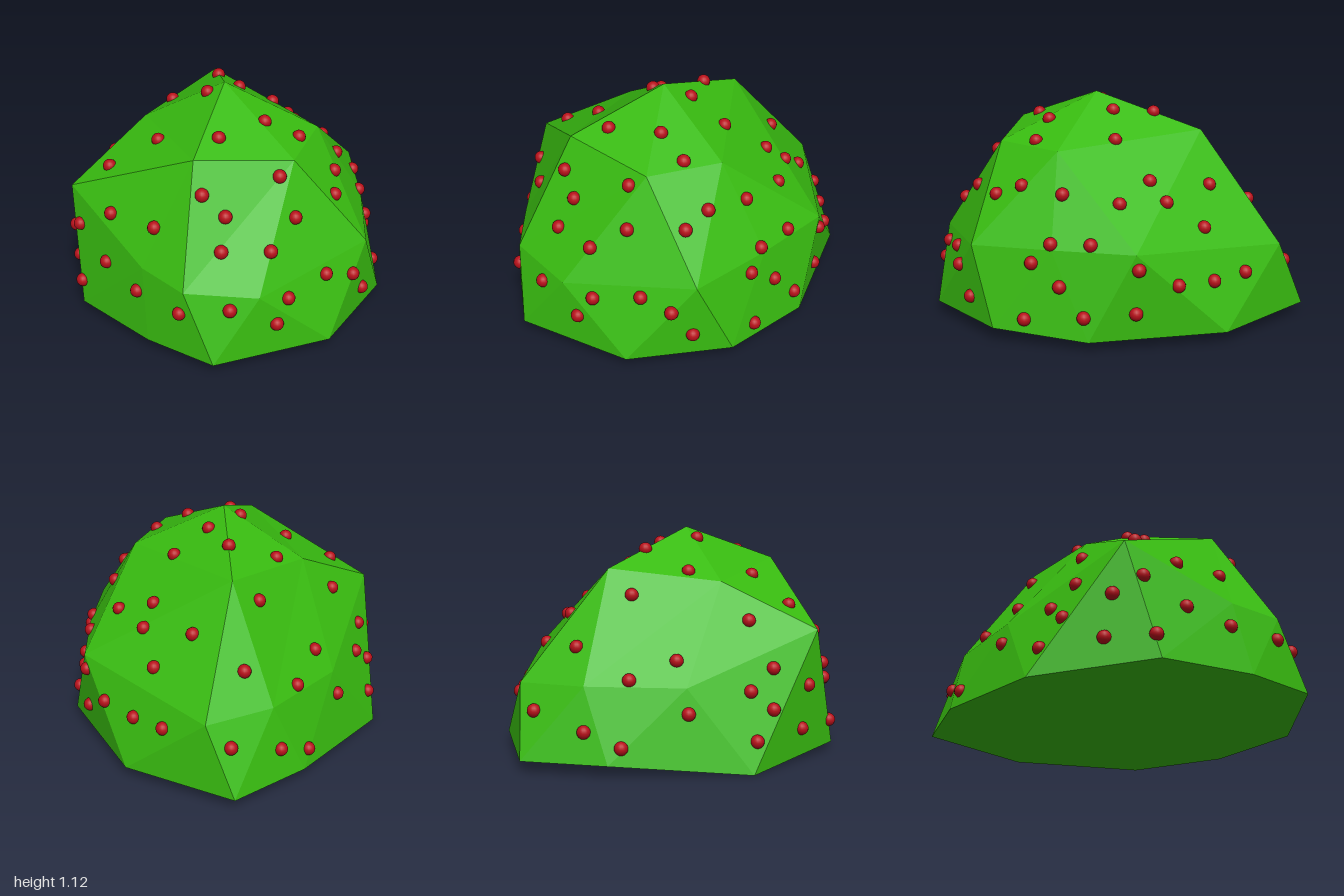
import * as THREE from 'three';

// Faceted dome: top point, then rings running counter-clockwise seen from above
const top = [0, 1.125, 0.1];
const crown = [
  [-0.15, 0.945, 0.58], [0.33, 0.9, 0.5], [0.47, 0.895, 0.14], [-0.05, 0.945, -0.45], [-0.41, 0.88, -0.02],
];
const waist = [
  [-0.4, 0.43, 0.72], [-0.2, 0.41, 0.9], [0.16, 0.38, 0.9], [0.7, 0.45, 0.51], [0.72, 0.47, 0.08],
  [0.7, 0.48, -0.34], [0.07, 0.41, -0.9], [-0.25, 0.42, -0.75], [-0.56, 0.41, -0.37], [-0.77, 0.65, 0.3],
];
const foot = [
  [-0.73, 0.045, 0.46], [-0.38, 0.06, 0.8], [-0.06, 0.06, 1], [0.51, 0.06, 0.8], [0.8, 0.07, 0.36],
  [0.79, 0.05, -0.13], [0.47, 0.06, -0.73], [-0.07, 0.06, -1], [-0.41, 0.06, -0.73], [-0.81, 0, -0.16],
];
const base = [0, 0.05, 0];

function bushGeometry() {
  const pos = [];
  const tri = (...corners) => corners.forEach((c) => pos.push(...c));
  for (let i = 0; i < 5; i++) {
    const a = crown[i], b = crown[(i + 1) % 5];
    const before = waist[(2 * i + 9) % 10], below = waist[2 * i], after = waist[2 * i + 1];
    tri(top, a, b);
    tri(a, before, below);
    tri(a, below, after);
    tri(a, after, b);
  }
  for (let j = 0; j < 10; j++) {
    const k = (j + 1) % 10;
    tri(waist[j], foot[j], foot[k]);
    tri(waist[j], foot[k], waist[k]);
    tri(base, foot[k], foot[j]);
  }
  const geo = new THREE.BufferGeometry();
  geo.setAttribute('position', new THREE.Float32BufferAttribute(pos, 3));
  geo.computeVertexNormals();
  return geo;
}

// Berry spots, grouped by the side they are pressed onto the bush from
const topSpots = [ // x, z
  [-0.11, -0.69], [-0.37, -0.57], [0.28, -0.77], [0.43, -0.65], [0.14, -0.545], [0.33, -0.57],
  [0.585, -0.515], [0.39, -0.395], [0.345, -0.295], [0.53, -0.2], [-0.18, -0.405], [-0.465, -0.355],
  [-0.03, -0.2], [-0.27, -0.115], [0.075, -0.015], [0.25, -0.085], [-0.085, 0.1], [-0.57, 0.02],
  [-0.7, -0.085], [-0.72, 0.045], [-0.575, 0.29], [-0.33, 0.265], [0.195, 0.29], [0.365, 0.295], [-0.03, 0.435],
];
const frontSpots = [ // x, y
  [-0.56, 0.6], [-0.34, 0.615], [-0.11, 0.8], [0, 0.7], [-0.02, 0.56], [0.26, 0.84], [0.335, 0.66],
  [0.215, 0.555], [-0.59, 0.35], [-0.43, 0.295], [-0.22, 0.29], [0.02, 0.325], [0.3, 0.33], [0.245, 0.22],
  [0.49, 0.37], [0.63, 0.32], [-0.73, 0.47], [-0.73, 0.165], [0.69, 0.18],
];
const backSpots = [[-0.05, 0.29], [-0.29, 0.21], [-0.43, 0.14], [-0.585, 0.29]]; // x, y
const plusXSpots = [ // z, y
  [0.3, 0.73], [0.44, 0.675], [0.075, 0.71], [0.09, 0.495], [-0.11, 0.505], [0.18, 0.4],
  [0.03, 0.3], [0.2, 0.13], [-0.1, 0.165], [-0.335, 0.185], [-0.35, 0.405],
];
const minusXSpots = [[-0.11, 0.15], [0, 0.29], [0.2, 0.165], [0.24, 0.38]]; // z, y

export function createModel() {
  const model = new THREE.Group();
  const bush = new THREE.Mesh(
    bushGeometry(),
    new THREE.MeshStandardMaterial({ color: 0x38bb10, flatShading: true }),
  );
  bush.name = 'bush';
  model.add(bush);

  // Berries sit half sunk in the leaves
  const berries = new THREE.Group();
  berries.name = 'berries';
  model.add(berries);
  const berryGeo = new THREE.SphereGeometry(0.034, 16, 12);
  const berryMat = new THREE.MeshStandardMaterial({ color: 0xb8101a });
  const ray = new THREE.Raycaster();
  const press = (spots, start, dir) => {
    for (const [u, v] of spots) {
      ray.set(start(u, v), new THREE.Vector3(...dir));
      const hit = ray.intersectObject(bush)[0];
      if (!hit) continue;
      const berry = new THREE.Mesh(berryGeo, berryMat);
      berry.name = 'berry';
      berry.position.copy(hit.point);
      berries.add(berry);
    }
  };
  press(topSpots, (x, z) => new THREE.Vector3(x, 3, z), [0, -1, 0]);
  press(frontSpots, (x, y) => new THREE.Vector3(x, y, 3), [0, 0, -1]);
  press(backSpots, (x, y) => new THREE.Vector3(x, y, -3), [0, 0, 1]);
  press(plusXSpots, (z, y) => new THREE.Vector3(3, y, z), [-1, 0, 0]);
  press(minusXSpots, (z, y) => new THREE.Vector3(-3, y, z), [1, 0, 0]);
  return model;
}
